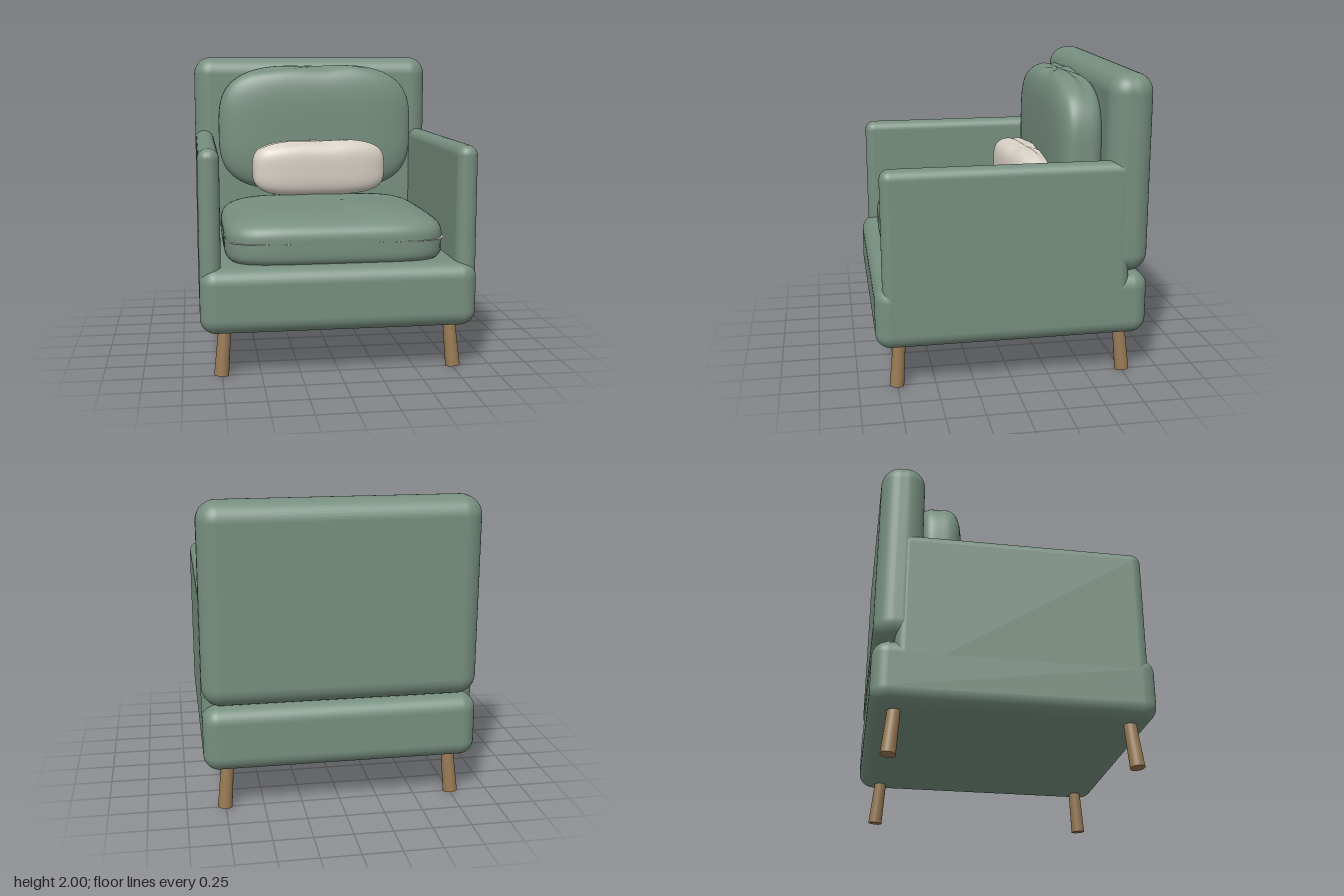
import * as THREE from 'three';
import { RoundedBoxGeometry } from 'three/addons/geometries/RoundedBoxGeometry.js';
import { mergeVertices } from 'three/addons/utils/BufferGeometryUtils.js';

const paint = (name, color) => Object.assign(new THREE.MeshStandardMaterial({ color }), { name });

// Rounded block given by its minimum and maximum corners
function block(name, material, min, max, radius) {
  const size = max.map((v, i) => v - min[i]);
  const mesh = new THREE.Mesh(new RoundedBoxGeometry(...size, 6, radius), material);
  mesh.position.set(...max.map((v, i) => (v + min[i]) / 2));
  mesh.name = name;
  return mesh;
}

// Soft cushion: a superellipsoid. "thin" is the thin axis (0 x, 1 y, 2 z), p rounds
// the broad outline, qPlus and qMinus round the two faces; creases fan out on top.
function cushion(name, material, half, thin, p, qPlus, qMinus, crease) {
  let geo = new THREE.SphereGeometry(1, 96, 64);
  geo.deleteAttribute('uv');
  geo.deleteAttribute('normal');
  geo = mergeVertices(geo, 1e-5);
  const pos = geo.attributes.position;
  const v = new THREE.Vector3();
  for (let i = 0; i < pos.count; i++) {
    v.fromBufferAttribute(pos, i);
    const angle = Math.atan2(v.z, v.x);
    const c = v.toArray();
    const q = c[thin] < 0 ? qMinus : qPlus;
    const broad = c.reduce((s, a, k) => (k === thin ? s : s + Math.abs(a) ** p), 0) ** (q / p);
    v.multiplyScalar((broad + Math.abs(c[thin]) ** q) ** (-1 / q));
    const up = Math.max(0, c[1]) ** 2;
    const spread = Math.min(1, Math.hypot(v.x, v.z) * 2);
    const fold = Math.sin(angle * 2 + 0.6) * 0.5 + Math.sin(angle * 7 + 1) * 0.3 + Math.sin(angle * 3) * 0.3;
    pos.setXYZ(i, v.x * half[0], v.y * half[1] + crease * up * spread * fold, v.z * half[2]);
  }
  geo.computeVertexNormals();
  const mesh = new THREE.Mesh(geo, material);
  mesh.name = name;
  return mesh;
}

export function createModel() {
  const model = new THREE.Group();
  model.name = 'armchair';
  const green = paint('sage fabric', 0x768e7f);
  const cream = paint('cream fabric', 0xd8d0c6);
  const wood = paint('wood', 0x967853);

  // Upholstered frame
  model.add(block('base', green, [-0.885, 0.29, -0.885], [0.885, 0.71, 0.885], 0.1));
  model.add(block('backrest', green, [-0.885, 0.71, -0.885], [0.885, 2, -0.595], 0.125));
  model.add(block('leftArm', green, [0.75, 0.4, -0.75], [0.885, 1.455, 0.835], 0.064));
  model.add(block('rightArm', green, [-0.885, 0.4, -0.75], [-0.75, 1.455, 0.835], 0.064));

  // Cushions
  const seat = cushion('seatCushion', green, [0.72, 0.18, 0.63], 1, 6, 3, 6, 0.006);
  seat.position.set(0, 0.85, 0.16);
  const seam = cushion('seatSeam', cream, [0.72, 0.003, 0.63], 1, 7.5, 3, 3, 0);
  seam.position.set(0, 0.845, 0.16);
  const back = cushion('backCushion', green, [0.715, 0.46, 0.17], 2, 3.3, 4, 4, 0.024);
  back.position.set(0, 1.475, -0.475);
  const pillow = cushion('pillow', cream, [0.485, 0.195, 0.145], 2, 3.6, 3.4, 3.4, 0.018);
  pillow.position.set(0, 1.205, -0.235);
  pillow.rotation.y = 0.09;
  model.add(seat, seam, back, pillow);

  // Splayed tapered legs
  const up = new THREE.Vector3(0, 1, 0);
  for (const sx of [-1, 1]) for (const sz of [-1, 1]) {
    const foot = new THREE.Vector3(sx * 0.755, 0.006, sz * 0.755);
    const top = new THREE.Vector3(sx * 0.728, 0.33, sz * 0.728);
    const axis = top.clone().sub(foot);
    const leg = new THREE.Mesh(new THREE.CylinderGeometry(0.04, 0.047, axis.length(), 24), wood);
    leg.position.copy(foot).add(top).multiplyScalar(0.5);
    leg.quaternion.setFromUnitVectors(up, axis.normalize());
    leg.name = (sz > 0 ? 'front' : 'back') + (sx > 0 ? 'Left' : 'Right') + 'Leg';
    model.add(leg);
  }
  return model;
}
